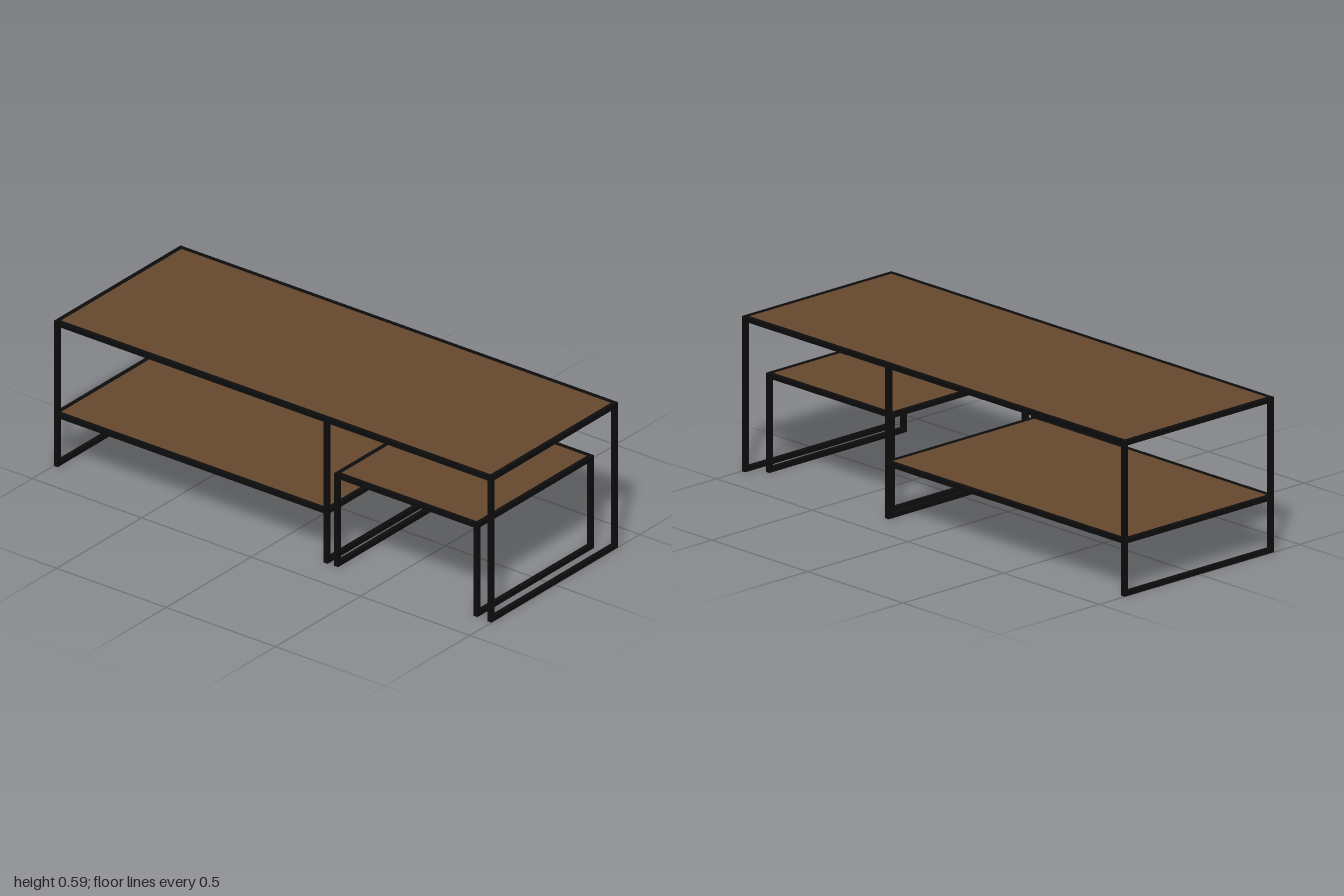
import * as THREE from 'three';

const T = 0.018; // thickness of the square steel bars

export function createModel() {
  const steel = new THREE.MeshStandardMaterial({ color: 0x0c0c0c });
  steel.name = 'black steel';
  const wood = new THREE.MeshStandardMaterial({ color: 0x65472d });
  wood.name = 'brown wood';

  // Box given by its lower and upper corners
  function box(parent, name, material, [x0, y0, z0], [x1, y1, z1]) {
    const mesh = new THREE.Mesh(new THREE.BoxGeometry(x1 - x0, y1 - y0, z1 - z0), material);
    mesh.position.set((x0 + x1) / 2, (y0 + y1) / 2, (z0 + z1) / 2);
    mesh.name = name;
    parent.add(mesh);
  }

  // Wooden panel set into a rim of steel bars, with its upper side at height y
  function framedPanel(parent, name, x0, x1, y, z0, z1) {
    const group = new THREE.Group();
    group.name = name;
    const b = y - T;
    for (const z of [z0, z1 - T]) box(group, 'longRail', steel, [x0, b, z], [x1, y, z + T]);
    for (const x of [x0, x1 - T]) box(group, 'endRail', steel, [x, b, z0 + T], [x + T, y, z1 - T]);
    box(group, 'panel', wood, [x0 + T, b + 0.001, z0 + T], [x1 - T, y - 0.001, z1 - T]);
    parent.add(group);
  }

  // Front and back uprights joined by a runner on the floor
  function sledLeg(parent, name, x, height, z0, z1) {
    const group = new THREE.Group();
    group.name = name;
    for (const z of [z0, z1 - T]) box(group, 'upright', steel, [x, 0, z], [x + T, height, z + T]);
    box(group, 'floorRunner', steel, [x, 0, z0 + T], [x + T, T, z1 - T]);
    parent.add(group);
  }

  const model = new THREE.Group();
  model.name = 'nestingCoffeeTable';

  // Large table with a low shelf on its right
  const large = new THREE.Group();
  large.name = 'largeTable';
  const D = 0.373, H = 0.59;
  framedPanel(large, 'tableTop', -1, 1, H, -D, D);
  framedPanel(large, 'lowerShelf', -1, 0.251, 0.218, -D, D);
  sledLeg(large, 'rightLeg', -1, H - T, -D, D);
  sledLeg(large, 'middleLeg', 0.251 - T, H - T, -D, D);
  sledLeg(large, 'leftLeg', 1 - T, H - T, -D, D);

  // Small table tucked under the open end
  const small = new THREE.Group();
  small.name = 'smallTable';
  const back = -0.316, front = 0.37, h = 0.377;
  framedPanel(small, 'smallTop', 0.279, 0.934, h, back, front);
  sledLeg(small, 'smallRightLeg', 0.279, h - T, back, front);
  sledLeg(small, 'smallLeftLeg', 0.934 - T, h - T, back, front);

  model.add(large, small);
  return model;
}
